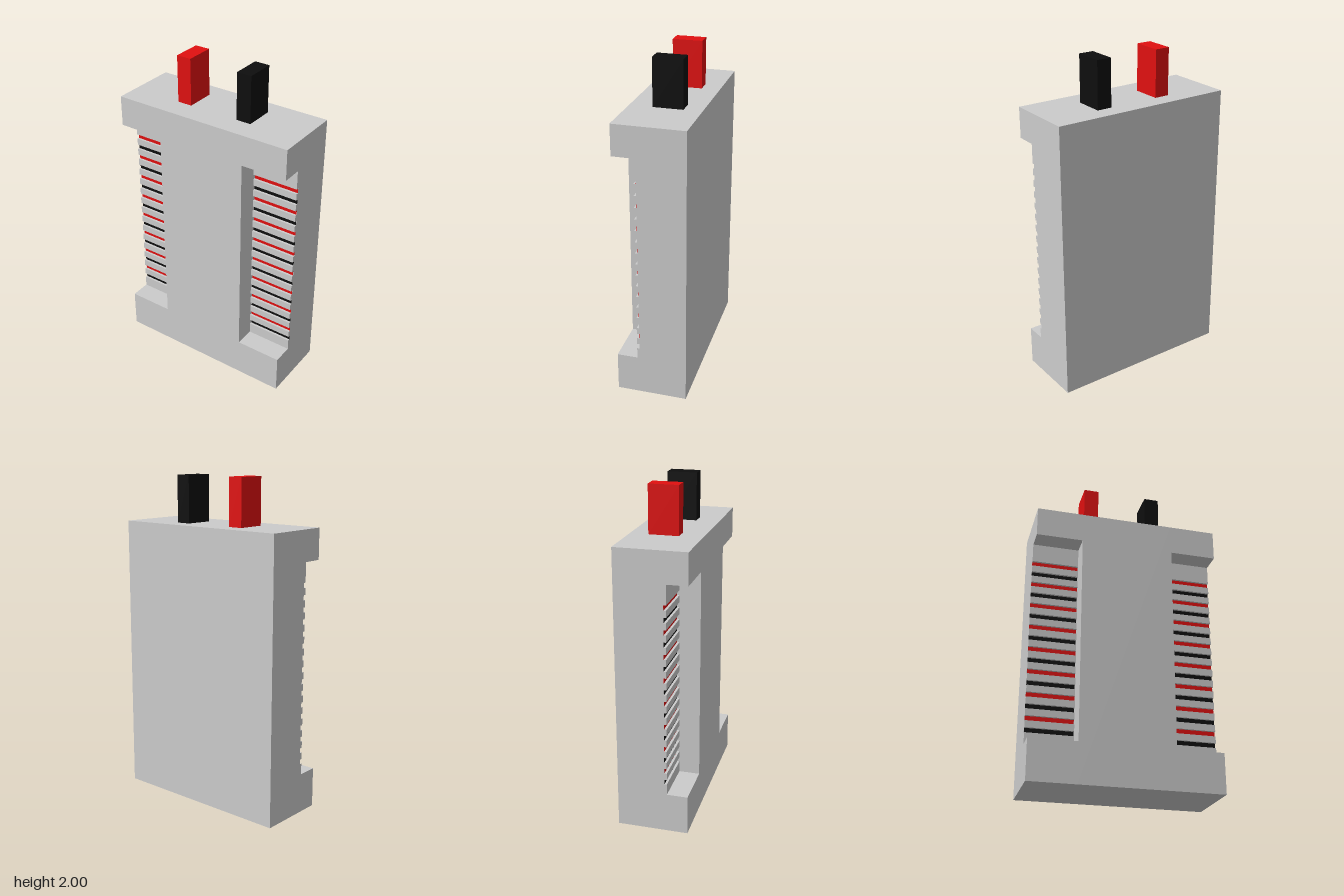
import * as THREE from 'three';

const W = 0.57, INNER = 0.285, H = 1.714, D = 0.213;   // body half width, recess edge, height, half depth
const LOW = 0.243, HIGH = 1.528;                       // recess bottom and top
const FLOOR = 0.088, GROOVE = 0.073;                   // recess floor and groove floor (z)
const COUNT = 16, FIRST = 0.326, STEP = 0.0713, SLOT = 0.03;

const grey = new THREE.MeshStandardMaterial({ color: 0xcccccc });
const red = new THREE.MeshStandardMaterial({ color: 0xe01010 });
const black = new THREE.MeshStandardMaterial({ color: 0x0e0e0e });

// Box given by its minimum and maximum corners
function block(name, material, [x0, y0, z0], [x1, y1, z1]) {
  const mesh = new THREE.Mesh(new THREE.BoxGeometry(x1 - x0, y1 - y0, z1 - z0), material);
  mesh.position.set((x0 + x1) / 2, (y0 + y1) / 2, (z0 + z1) / 2);
  mesh.name = name;
  return mesh;
}

// Side profile (z, y) with the recess and its row of grooves
function sideProfile() {
  const pts = [[-D, 0], [D, 0], [D, LOW], [FLOOR, LOW]];
  for (let i = 0; i < COUNT; i++) {
    const a = FIRST + i * STEP - SLOT / 2, b = a + SLOT;
    pts.push([FLOOR, a], [GROOVE, a], [GROOVE, b], [FLOOR, b]);
  }
  pts.push([FLOOR, HIGH], [D, HIGH], [D, H], [-D, H]);
  return new THREE.Shape(pts.map(([z, y]) => new THREE.Vector2(z, y)));
}

export function createModel() {
  const model = new THREE.Group();
  model.name = 'connector';

  // Solid middle of the body
  model.add(block('bodyCore', grey, [-INNER, 0, -D], [INNER, H, D]));

  // Recessed sides, extruded along x
  const sideGeo = new THREE.ExtrudeGeometry(sideProfile(), { depth: W - INNER, bevelEnabled: false });
  sideGeo.rotateY(-Math.PI / 2);
  for (const [name, x0, x1] of [['left', INNER, W], ['right', -W, -INNER]]) {
    const side = new THREE.Mesh(sideGeo, grey);
    side.name = name + 'RecessedSide';
    side.position.x = x1;
    model.add(side);

    // Coloured contact strips on the groove floors, black and red in turn
    const strips = new THREE.Group();
    strips.name = name + 'ContactStrips';
    for (let i = 0; i < COUNT; i++) {
      const y = FIRST + i * STEP;
      strips.add(block('contactStrip', i % 2 ? red : black,
        [x0 + 0.001, y - SLOT / 2, GROOVE - 0.003], [x1 - 0.001, y + SLOT / 2, GROOVE + 0.001]));
    }
    model.add(strips);
  }

  // Terminals on top
  model.add(block('redTerminal', red, [-0.25, H, -0.104], [-0.158, 2, 0.075]));
  model.add(block('blackTerminal', black, [0.156, H, -0.104], [0.248, 2, 0.075]));
  return model;
}
